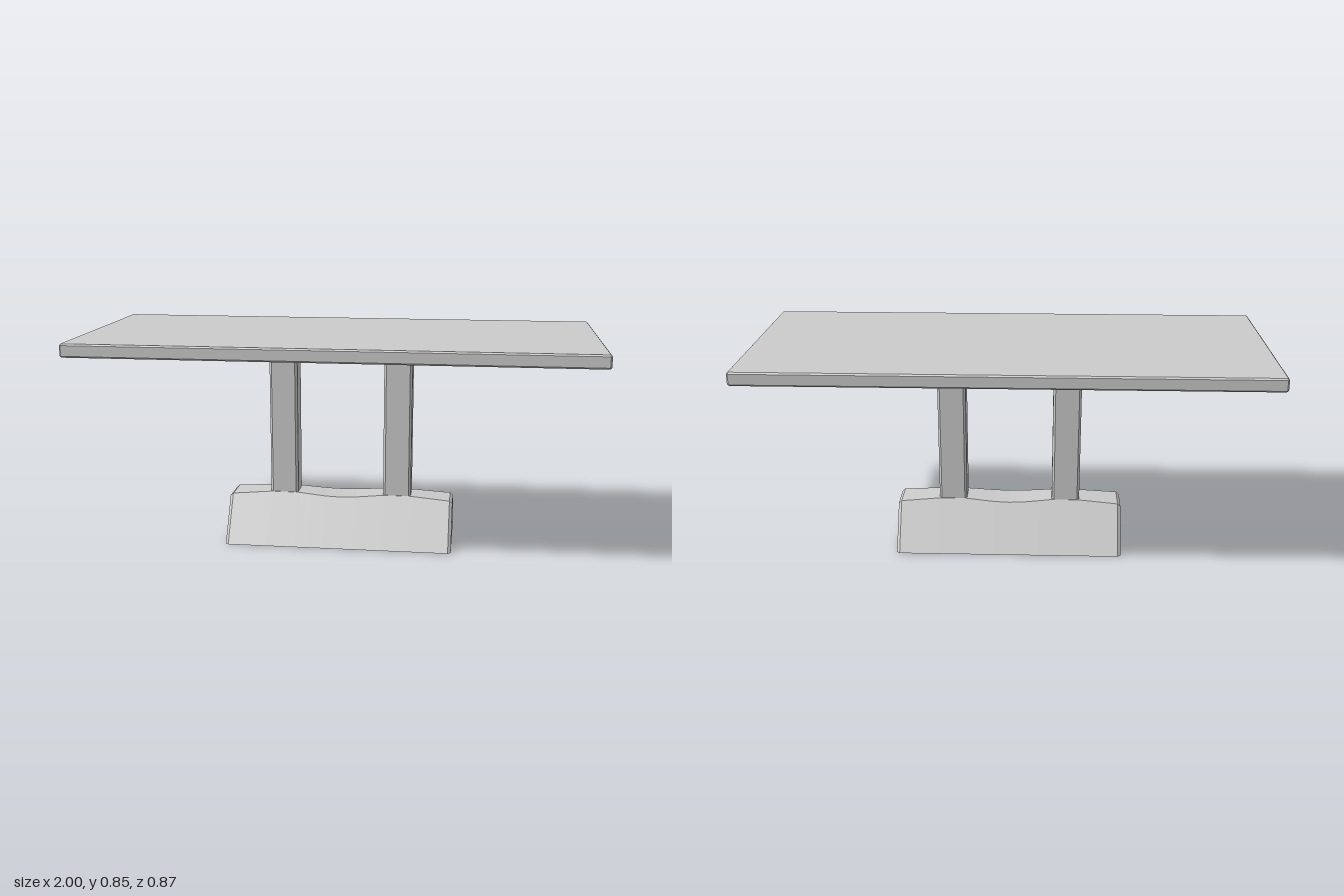
import * as THREE from 'three';

const material = new THREE.MeshStandardMaterial({ color: 0xcccccc, flatShading: true });

// Upright block with chamfered vertical edges and optionally chamfered rims
function chamferedBlock(name, w, d, y0, y1, c, rim) {
  const a = w / 2 - rim, b = d / 2 - rim;
  const shape = new THREE.Shape([
    [a - c, -b], [a, -b + c], [a, b - c], [a - c, b],
    [-a + c, b], [-a, b - c], [-a, -b + c], [-a + c, -b],
  ].map(([x, z]) => new THREE.Vector2(x, z)));
  const geometry = new THREE.ExtrudeGeometry(shape, {
    depth: y1 - y0 - 2 * rim, bevelEnabled: rim > 0,
    bevelThickness: rim, bevelSize: rim, bevelSegments: 1,
  });
  geometry.rotateX(-Math.PI / 2).translate(0, y0 + rim, 0);
  const mesh = new THREE.Mesh(geometry, material);
  mesh.name = name;
  return mesh;
}

// Trapezoid sections lofted along x: [x, top height, side inset]
function createBase() {
  const half = [[0, 0.182, 0], [0.06, 0.184, 0], [0.12, 0.189, 0], [0.175, 0.194, 0],
    [0.285, 0.194, 0], [0.443, 0.182, 0], [0.455, 0.171, 0.011]];
  const stations = [...half.slice(1).reverse().map(([x, h, i]) => [-x, h, i]), ...half];
  const positions = [], index = [];
  for (const [x, h, inset] of stations) {
    const bottom = 0.175 - inset, top = 0.175 - 0.63 * h - inset * 0.9;
    positions.push(x, 0, bottom, x, h, top, x, h, -top, x, 0, -bottom);
  }
  const last = (stations.length - 1) * 4;
  for (let s = 0; s < last; s += 4) {
    for (let k = 0; k < 4; k++) {
      const a = s + k, b = s + (k + 1) % 4;
      index.push(a, a + 4, b, b, a + 4, b + 4);
    }
  }
  // End caps
  index.push(0, 1, 2, 0, 2, 3, last, last + 2, last + 1, last, last + 3, last + 2);
  const geometry = new THREE.BufferGeometry();
  geometry.setAttribute('position', new THREE.Float32BufferAttribute(positions, 3));
  geometry.setIndex(index);
  const flat = geometry.toNonIndexed();
  flat.computeVertexNormals();
  const mesh = new THREE.Mesh(flat, material);
  mesh.name = 'base';
  return mesh;
}

export function createModel() {
  const table = new THREE.Group();
  table.name = 'table';

  table.add(chamferedBlock('tabletop', 2, 0.866, 0.797, 0.849, 0.003, 0.006));

  // Pair of posts
  for (const side of [1, -1]) {
    const post = chamferedBlock(side > 0 ? 'leftPost' : 'rightPost', 0.112, 0.1, 0.18, 0.8, 0.009, 0);
    post.position.x = side * 0.23;
    table.add(post);
  }

  table.add(createBase());
  return table;
}
